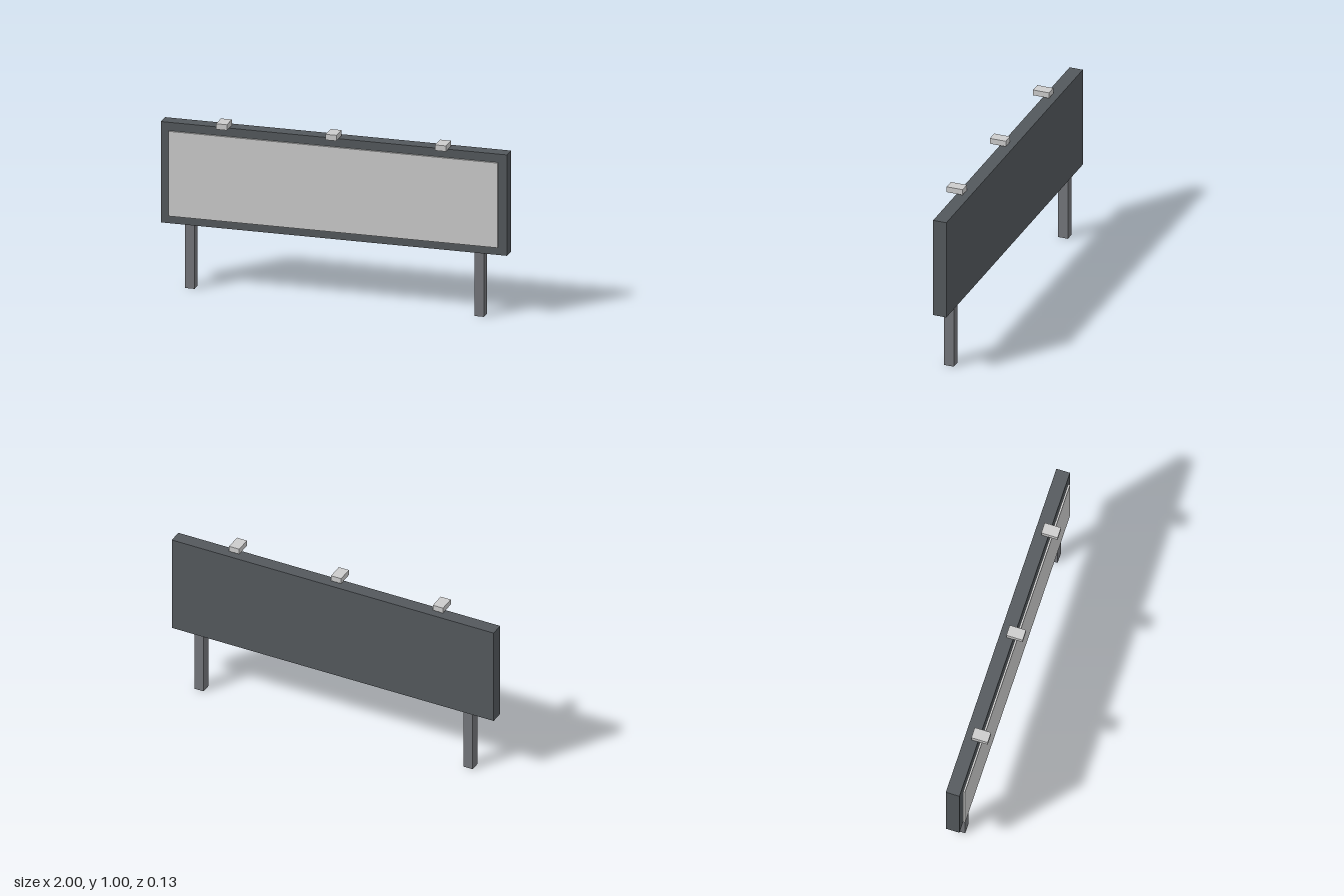
import * as THREE from 'three';

export function createModel() {
  const model = new THREE.Group();
  const paint = (color) => new THREE.MeshStandardMaterial({ color });
  const boardPaint = paint(0x53585c);
  const legPaint = paint(0x73757a);
  const grey = paint(0xcccccc);

  // Box given by its centre x, width, and y and z ranges
  function addBox(name, material, x, width, [y0, y1], [z0, z1]) {
    const mesh = new THREE.Mesh(new THREE.BoxGeometry(width, y1 - y0, z1 - z0), material);
    mesh.position.set(x, (y0 + y1) / 2, (z0 + z1) / 2);
    mesh.name = name;
    model.add(mesh);
  }

  // Dark backing board with the poster panel just in front of it
  addBox('board', boardPaint, 0, 2, [0.373, 0.962], [-0.067, 0.012]);
  addBox('posterPanel', grey, 0, 1.9, [0.42, 0.915], [0.018, 0.029]);

  // Two square legs
  for (const [name, x] of [['leftLeg', 0.836], ['rightLeg', -0.836]]) {
    addBox(name, legPaint, x, 0.056, [0, 0.373], [-0.056, 0.002]);
  }

  // Three lamps along the top edge, overhanging the front
  for (const [name, x] of [['leftLamp', 0.633], ['middleLamp', 0], ['rightLamp', -0.633]]) {
    addBox(name, grey, x, 0.063, [0.967, 1], [-0.027, 0.068]);
  }

  return model;
}
